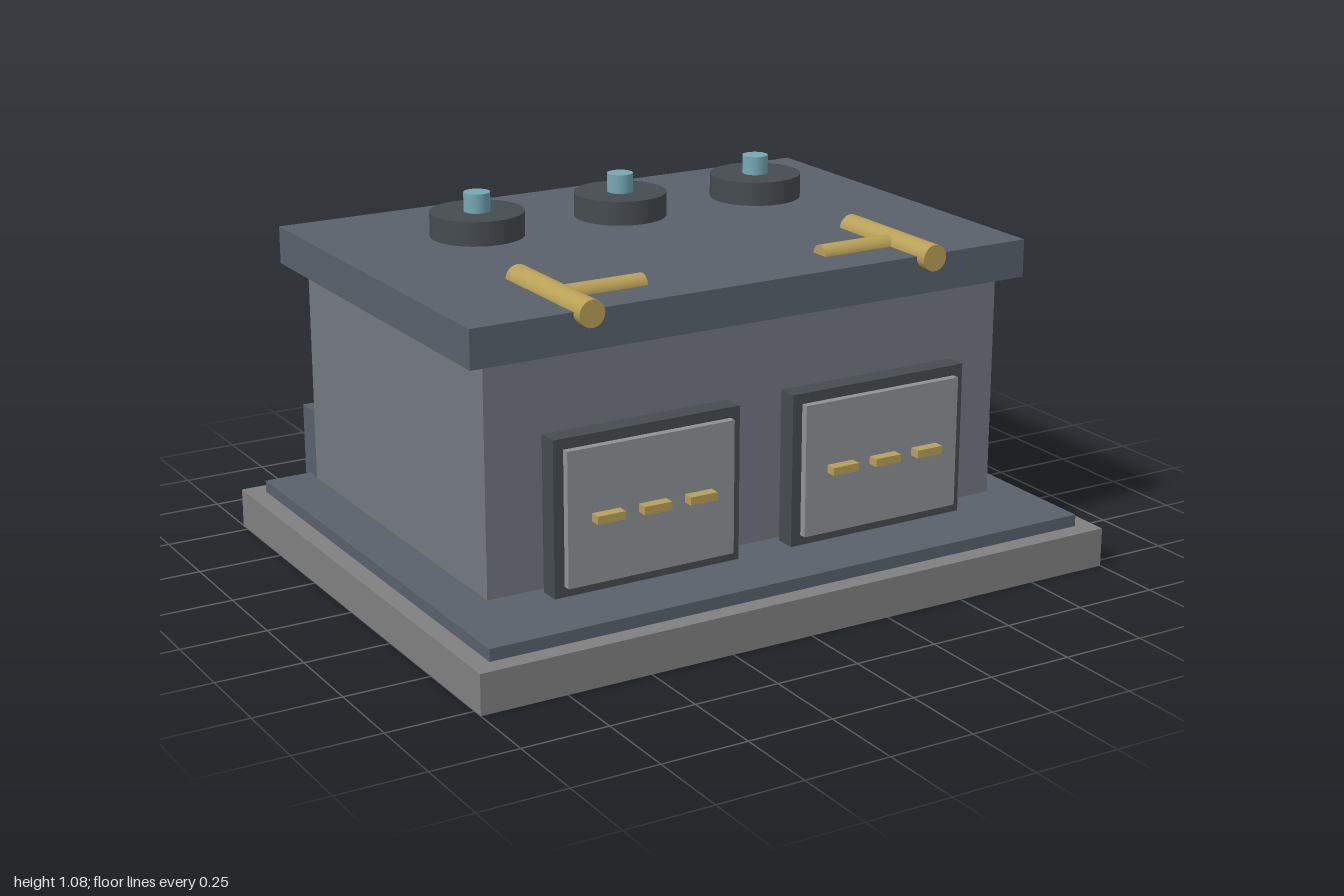
import * as THREE from 'three';

const mat = (color) => new THREE.MeshStandardMaterial({ color });

export function createModel() {
  const model = new THREE.Group();
  model.name = 'stove';

  const stone = mat(0x808080);
  const slate = mat(0x59616b);
  const steel = mat(0x727880);
  const iron = mat(0x454b50);
  const pane = mat(0x8c9296);
  const brass = mat(0xb8a055);
  const teal = mat(0x74a9b5);

  // Box given by its min/max extents on each axis
  const box = (name, material, [x0, x1], [y0, y1], [z0, z1], parent = model) => {
    const mesh = new THREE.Mesh(new THREE.BoxGeometry(x1 - x0, y1 - y0, z1 - z0), material);
    mesh.position.set((x0 + x1) / 2, (y0 + y1) / 2, (z0 + z1) / 2);
    mesh.name = name;
    parent.add(mesh);
    return mesh;
  };
  const cylinder = (name, material, radius, length, x, y, z, parent, sides = 32) => {
    const mesh = new THREE.Mesh(new THREE.CylinderGeometry(radius, radius, length, sides), material);
    mesh.position.set(x, y, z);
    mesh.name = name;
    parent.add(mesh);
    return mesh;
  };

  // Stepped base, body and overhanging top
  box('base', stone, [-1, 1], [0, 0.115], [-0.785, 0.785]);
  box('basePlate', slate, [-0.945, 0.945], [0.115, 0.15], [-0.73, 0.73]);
  box('body', steel, [-0.82, 0.82], [0.165, 0.82], [-0.635, 0.475]);
  box('topSlab', slate, [-0.88, 0.88], [0.82, 0.93], [-0.695, 0.525]);
  box('rearBox', slate, [-0.8, -0.43], [0.14, 0.355], [-0.765, -0.52]);

  // Row of discs with small knobs, just above the top
  for (const x of [-0.465, 0, 0.465]) {
    const burner = new THREE.Group();
    burner.name = 'burner';
    cylinder('disc', iron, 0.135, 0.07, x, 0.985, -0.245, burner);
    cylinder('knob', teal, 0.038, 0.06, x, 1.045, -0.245, burner, 24);
    model.add(burner);
  }

  for (const side of [-1, 1]) {
    // Framed door with three brass vents
    const door = new THREE.Group();
    door.name = side > 0 ? 'leftDoor' : 'rightDoor';
    const cx = side * 0.372;
    box('doorFrame', iron, [cx - 0.286, cx + 0.286], [0.16, 0.602], [0.487, 0.548], door);
    box('doorPanel', pane, [cx - 0.256, cx + 0.256], [0.19, 0.572], [0.53, 0.57], door);
    for (const dx of [-0.142, 0, 0.142]) {
      box('vent', brass, [cx + dx - 0.042, cx + dx + 0.042], [0.367, 0.39], [0.56, 0.602], door);
    }
    model.add(door);

    // T-shaped handle half sunk into the top
    const handle = new THREE.Group();
    handle.name = side > 0 ? 'leftHandle' : 'rightHandle';
    cylinder('handleRod', brass, 0.038, 0.41, side * 0.543, 0.928, 0.353, handle, 24).rotation.x = Math.PI / 2;
    cylinder('handleArm', brass, 0.03, 0.25, side * 0.41, 0.928, 0.37, handle, 24).rotation.z = Math.PI / 2;
    model.add(handle);
  }

  return model;
}
